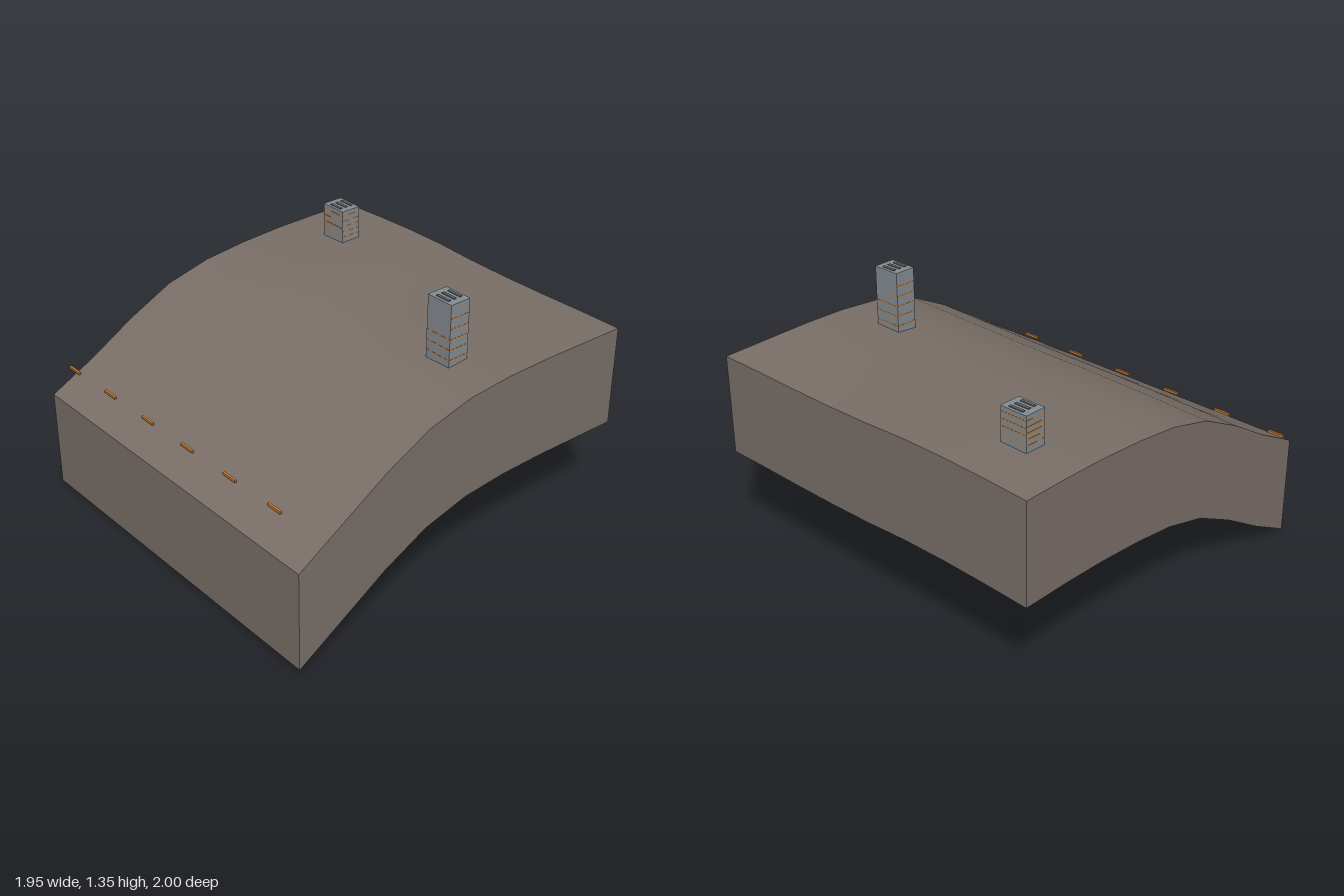
import * as THREE from 'three';

const X = 0.975, FRONT = 1, BACK = -0.955, DEPTH = FRONT - BACK, THICK = 0.52, N = 8;

// Hill section along the front edge, extra drop towards the back, ripple along z
const RIDGE = [0.54, 0.69, 0.84, 0.96, 1.022, 1.041, 1.043, 1.037, 1.031];
const DROP = [0.02, 0.045, 0.05, 0.05, 0.05, 0.042, 0.03, 0.02, 0.017];
const RIPPLE = [0, 0, -0.003, -0.003, 0.002, 0.014, 0.016, 0.01, 0];

function sample(list, t) {
  const f = THREE.MathUtils.clamp(t, 0, 1) * N;
  const i = Math.min(Math.floor(f), N - 1);
  return THREE.MathUtils.lerp(list[i], list[i + 1], f - i);
}

function groundHeight(x, z) {
  const u = (x + X) / (2 * X), t = (FRONT - z) / DEPTH;
  return sample(RIDGE, u) - sample(DROP, u) * t + sample(RIPPLE, t) * u;
}

export function createModel() {
  const model = new THREE.Group();
  model.name = 'hillsideBlock';

  const material = (name, color) => {
    const m = new THREE.MeshStandardMaterial({ color });
    m.name = name;
    return m;
  };
  const earth = material('earth', 0x7a6f68);
  earth.side = THREE.DoubleSide;
  const concrete = material('concrete', 0x868c91);
  const orange = material('orange', 0xc87a32);
  const grille = material('grille', 0x5c6369);

  const add = (parent, name, geometry, mat, x = 0, y = 0, z = 0) => {
    const mesh = new THREE.Mesh(geometry, mat);
    mesh.name = name;
    mesh.position.set(x, y, z);
    parent.add(mesh);
    return mesh;
  };

  // Rolling upper surface
  const top = new THREE.PlaneGeometry(2 * X, DEPTH, N, N);
  top.rotateX(-Math.PI / 2).translate(0, 0, (FRONT + BACK) / 2);
  const p = top.attributes.position;
  for (let i = 0; i < p.count; i++) p.setY(i, groundHeight(p.getX(i), p.getZ(i)));
  top.computeVertexNormals();
  add(model, 'groundSurface', top, earth);

  // Four walls hanging from the surface, open underneath
  const along = (t) => THREE.MathUtils.lerp(FRONT, BACK, t);
  const walls = {
    frontWall: (t) => [-X + 2 * X * t, FRONT],
    leftWall: (t) => [X, along(t)],
    backWall: (t) => [X - 2 * X * t, BACK],
    rightWall: (t) => [-X, along(1 - t)],
  };
  for (const [name, path] of Object.entries(walls)) {
    const g = new THREE.PlaneGeometry(1, 1, N, 1);
    const q = g.attributes.position;
    for (let i = 0; i < q.count; i++) {
      const [x, z] = path(q.getX(i) + 0.5);
      q.setXYZ(i, x, groundHeight(x, z) - (q.getY(i) < 0 ? THICK : 0), z);
    }
    g.computeVertexNormals();
    add(model, name, g, earth);
  }

  // Ventilation towers with orange bands and roof slats
  const W = 0.115, D = 0.15;
  function tower(name, x, z, base, height, bands, sideBands) {
    const g = new THREE.Group();
    g.name = name;
    g.position.set(x, 0, z);
    add(g, 'shaft', new THREE.BoxGeometry(W, height - base, D), concrete, 0, (height + base) / 2);
    for (const y of bands) {
      add(g, 'faceBand', new THREE.BoxGeometry(W, 0.006, D + 0.002), orange, 0, y);
    }
    for (const y of sideBands) {
      add(g, 'sideBand', new THREE.BoxGeometry(W + 0.002, 0.006, D), orange, 0, y);
    }
    for (const dx of [-0.035, 0, 0.035]) {
      add(g, 'roofSlat', new THREE.BoxGeometry(0.016, 0.008, 0.08), grille, dx, height, 0);
    }
    model.add(g);
  }
  tower('tallTower', 0.163, 0.675, 1.01, 1.342,
    [1.06, 1.112, 1.165, 1.217, 1.27], [1.06, 1.112, 1.165]);
  tower('shortTower', 0.648, -0.63, 1.02, 1.207,
    [1.06, 1.09, 1.12, 1.15, 1.18], [1.11, 1.145, 1.18]);

  // Row of marker bars floating just above the lower slope
  for (let i = 0; i < 6; i++) {
    const z = 0.67 - i * 0.325;
    const y = groundHeight(-0.84, Math.max(z, BACK)) + 0.021;
    add(model, 'markerBar', new THREE.BoxGeometry(0.012, 0.012, 0.09), orange, -0.84, y, z);
  }

  return model;
}
